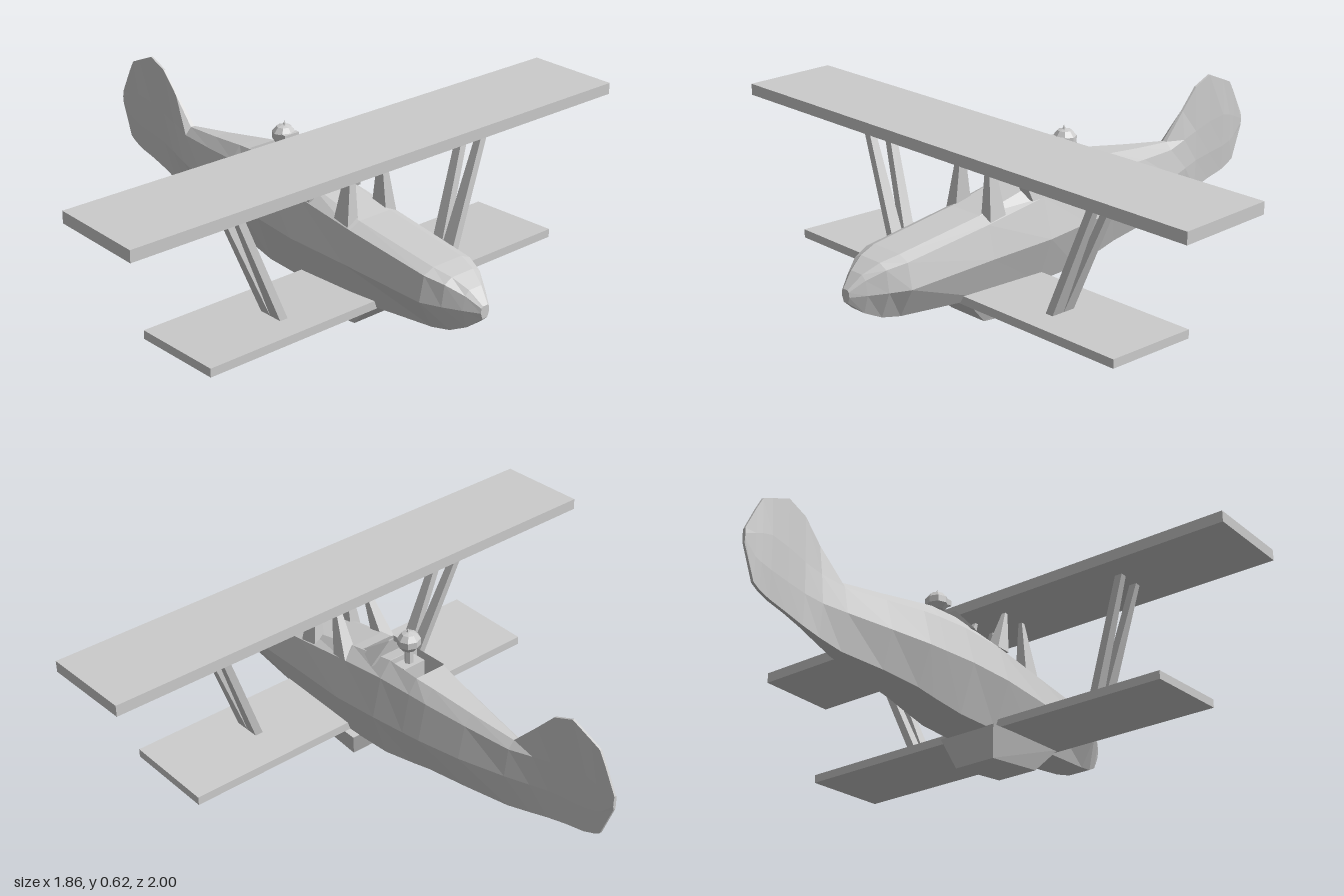
import * as THREE from 'three';

const grey = new THREE.MeshStandardMaterial({ color: 0xcccccc, flatShading: true });

// Solid skinned over rings of [x, y, z]; rings turn counter-clockwise about the loft direction.
function loft(rings, skip = () => false) {
  const n = rings[0].length, last = rings.length - 1, index = [];
  for (let i = 0; i < last; i++) {
    for (let j = 0; j < n; j++) {
      if (skip(i, j)) continue;
      const k = (j + 1) % n, a = i * n, b = a + n;
      index.push(a + j, a + k, b + k, a + j, b + k, b + j);
    }
  }
  for (let j = 1; j < n - 1; j++) {
    index.push(0, j + 1, j);
    index.push(last * n, last * n + j, last * n + j + 1);
  }
  const g = new THREE.BufferGeometry();
  g.setAttribute('position', new THREE.Float32BufferAttribute(rings.flat(2), 3));
  g.setIndex(index);
  const flat = g.toNonIndexed();
  flat.computeVertexNormals();
  return flat;
}

// Horizontal rectangle, counter-clockwise about +y; y may differ at the two x ends.
const rect = (x0, x1, z0, z1, y0, y1 = y0) =>
  [[x0, y0, z1], [x1, y1, z1], [x1, y1, z0], [x0, y0, z0]];

// Eight-sided body section: heights at bottom, middle, shoulder, top with half widths.
const section = ([x, yb, ym, yu, yt, wb, wm, wu, wt]) => [
  [x, yt, wt], [x, yu, wu], [x, ym, wm], [x, yb, wb],
  [x, yb, -wb], [x, ym, -wm], [x, yu, -wu], [x, yt, -wt]];

export function createModel() {
  const model = new THREE.Group();
  const add = (name, geometry, x = 0, y = 0, z = 0, parent = model) => {
    const mesh = new THREE.Mesh(geometry, grey);
    mesh.name = name;
    mesh.position.set(x, y, z);
    parent.add(mesh);
    return mesh;
  };

  // Tail fin, widening forward into the fuselage
  const tail = [
    [-0.93, 0.36, 0.375, 0.39, 0.41, 0.004, 0.006, 0.006, 0.004],
    [-0.885, 0.245, 0.33, 0.41, 0.5, 0.005, 0.008, 0.008, 0.004],
    [-0.86, 0.23, 0.32, 0.42, 0.545, 0.005, 0.01, 0.01, 0.004],
    [-0.82, 0.215, 0.31, 0.43, 0.563, 0.006, 0.012, 0.012, 0.004],
    [-0.745, 0.2, 0.3, 0.42, 0.595, 0.006, 0.011, 0.01, 0.004],
    [-0.67, 0.182, 0.29, 0.4, 0.565, 0.008, 0.012, 0.01, 0.004],
    [-0.6, 0.165, 0.28, 0.385, 0.49, 0.014, 0.024, 0.016, 0.004],
    [-0.51, 0.147, 0.275, 0.372, 0.397, 0.025, 0.047, 0.032, 0.008],
  ];
  // Fuselage; the top between the two cockpit sections is left open
  const body = [
    [-0.34, 0.14, 0.27, 0.385, 0.42, 0.05, 0.087, 0.06, 0.03],
    [-0.18, 0.13, 0.27, 0.4, 0.445, 0.065, 0.115, 0.085, 0.05],
    [-0.11, 0.118, 0.27, 0.405, 0.455, 0.07, 0.123, 0.092, 0.06],
    [0.02, 0.1, 0.27, 0.41, 0.463, 0.08, 0.137, 0.102, 0.06],
    [0.2, 0.1, 0.265, 0.4, 0.437, 0.085, 0.146, 0.11, 0.065],
    [0.44, 0.115, 0.26, 0.37, 0.39, 0.08, 0.132, 0.107, 0.065],
    [0.765, 0.145, 0.25, 0.335, 0.352, 0.055, 0.115, 0.098, 0.06],
  ];
  const cockpit = tail.length + 2;
  add('fuselage', loft([...tail, ...body].map(section), (i, j) => i === cockpit && j === 7));

  // Nose cone
  add('nose', loft([
    body[body.length - 1],
    [0.83, 0.158, 0.25, 0.322, 0.338, 0.045, 0.085, 0.075, 0.045],
    [0.885, 0.185, 0.248, 0.295, 0.31, 0.03, 0.05, 0.042, 0.026],
    [0.93, 0.225, 0.246, 0.262, 0.268, 0.01, 0.018, 0.016, 0.01],
  ].map(section)));

  // Cockpit well: inward-facing box without its lid
  const well = new THREE.BoxGeometry(0.13, 0.1, 0.12);
  const faces = Array.from(well.index.array);
  faces.splice(12, 6);
  well.setIndex(faces.reverse());
  add('cockpitWell', well, -0.045, 0.41, 0);

  // Windshield
  add('windshield', loft([
    [[0.07, 0.43, 0.1], [0.16, 0.44, 0.06], [0.16, 0.44, -0.06], [0.07, 0.43, -0.1]],
    [[0.055, 0.51, 0.032], [0.065, 0.507, 0.028], [0.065, 0.507, -0.028], [0.055, 0.51, -0.032]],
  ]));

  // Pilot
  const pilot = new THREE.Group();
  pilot.name = 'pilot';
  model.add(pilot);
  add('shoulders', new THREE.BoxGeometry(0.05, 0.08, 0.09), -0.01, 0.405, 0, pilot);
  add('neck', new THREE.CylinderGeometry(0.014, 0.016, 0.06, 6), -0.007, 0.47, 0, pilot);
  const head = new THREE.SphereGeometry(0.043, 8, 5);
  head.scale(0.95, 0.86, 1);
  add('head', head, -0.007, 0.526, 0, pilot);
  add('goggles', new THREE.BoxGeometry(0.02, 0.02, 0.06), 0.025, 0.53, 0, pilot);
  add('capKnob', new THREE.ConeGeometry(0.008, 0.018, 5), -0.004, 0.567, 0, pilot);

  // Wings, the lower one raked up toward its leading edge
  add('upperWing', new THREE.BoxGeometry(0.333, 0.04, 2), 0.366, 0.6, 0);
  add('lowerWing', loft([
    rect(0.2, 0.535, -0.735, 0.735, 0.106, 0.12),
    rect(0.2, 0.535, -0.735, 0.735, 0.136, 0.15),
  ]));

  // Belly fairing
  add('bellyFairing', loft([
    rect(0.195, 0.44, -0.078, 0.078, 0, 0.03),
    rect(0.155, 0.53, -0.112, 0.112, 0.102, 0.125),
  ]));

  // Struts: base x0, x1, inner z, outer z, y; then the same for the top
  const struts = {
    rearWingStrut: [[0.345, 0.39, 0.355, 0.385, 0.135], [0.295, 0.32, 0.53, 0.557, 0.585]],
    frontWingStrut: [[0.39, 0.44, 0.355, 0.385, 0.135], [0.385, 0.407, 0.53, 0.557, 0.585]],
    rearCabaneStrut: [[0.19, 0.25, 0.06, 0.112, 0.4], [0.29, 0.302, 0.058, 0.072, 0.585]],
    frontCabaneStrut: [[0.36, 0.43, 0.06, 0.106, 0.365], [0.388, 0.402, 0.058, 0.072, 0.585]],
  };
  for (const [name, ends] of Object.entries(struts)) {
    add(name + 'Left', loft(ends.map(([x0, x1, z0, z1, y]) => rect(x0, x1, -z1, -z0, y))));
    add(name + 'Right', loft(ends.map(([x0, x1, z0, z1, y]) => rect(x0, x1, z0, z1, y))));
  }
  return model;
}
